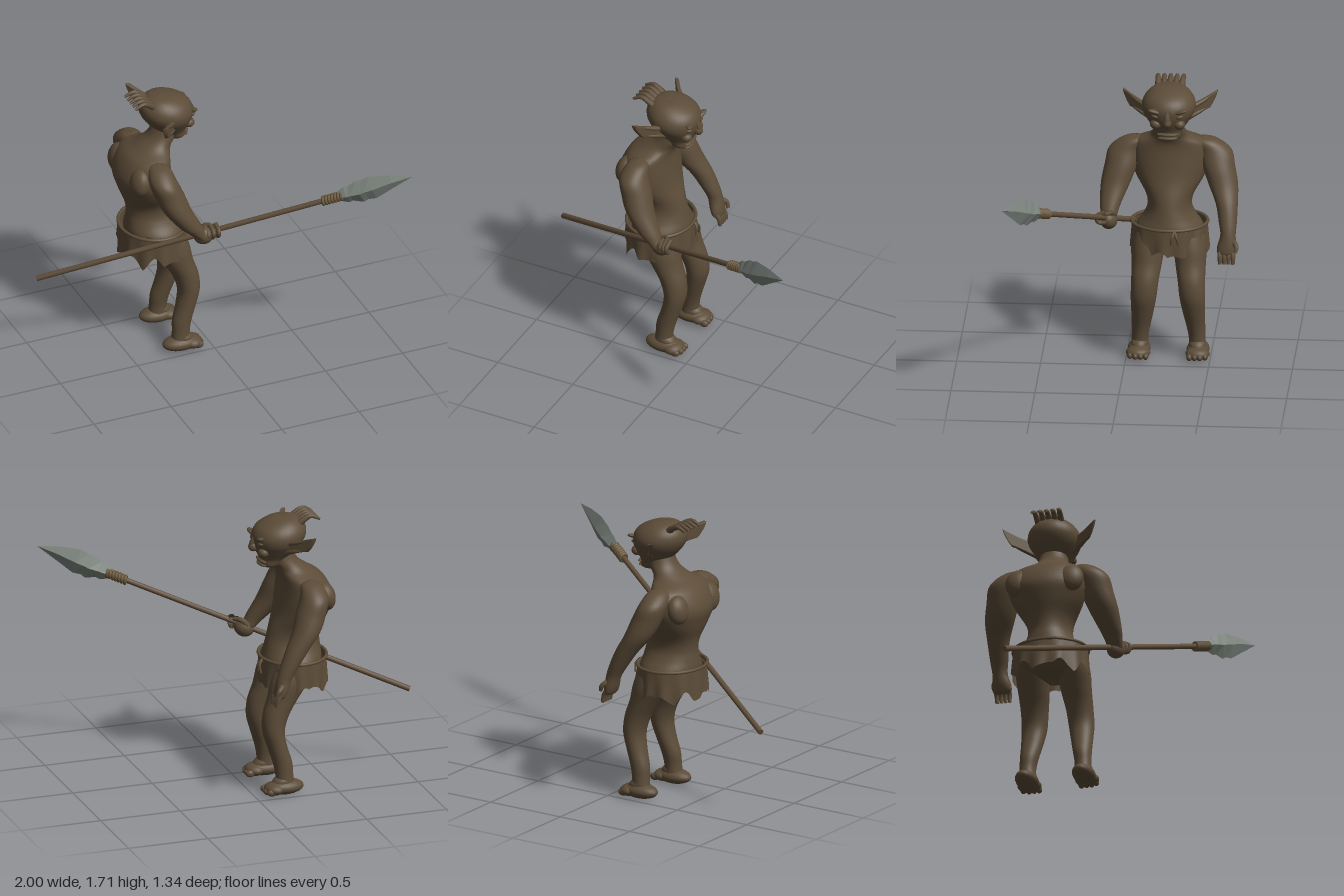
import * as THREE from 'three';

const skin = new THREE.MeshStandardMaterial({ color: 0x5c4c38, side: THREE.DoubleSide });
skin.name = 'brown skin and cloth';
const wood = new THREE.MeshStandardMaterial({ color: 0x604e3a });
wood.name = 'shaft wood';
const cord = new THREE.MeshStandardMaterial({ color: 0x6a583c });
cord.name = 'binding cord';
const stone = new THREE.MeshStandardMaterial({ color: 0x7b837c });
stone.name = 'grey blade';

const V = (x, y, z) => new THREE.Vector3(x, y, z);

function add(parent, name, geo, mat = skin) {
  const m = new THREE.Mesh(geo, mat);
  m.name = name;
  parent.add(m);
  return m;
}

// Smooth skin over elliptical sections [y, x, z, rx, rz], listed from top to bottom
function loft(rows, s = 1, sides = 28, steps = 5) {
  const mid = new THREE.CatmullRomCurve3(rows.map(r => V(r[1], r[0], r[2] * s)), false, 'catmullrom');
  const rad = new THREE.CatmullRomCurve3(rows.map(r => V(r[3], r[4], 0)), false, 'catmullrom');
  const n = (rows.length - 1) * steps, pos = [], idx = [];
  for (let i = 0; i <= n; i++) {
    const c = mid.getPoint(i / n), r = rad.getPoint(i / n);
    for (let j = 0; j < sides; j++) {
      const a = j / sides * Math.PI * 2;
      pos.push(c.x + Math.cos(a) * r.x, c.y, c.z + Math.sin(a) * r.y);
      if (i === n) continue;
      const p = i * sides + j, q = i * sides + (j + 1) % sides;
      idx.push(p, q, p + sides, q, q + sides, p + sides);
    }
  }
  const g = new THREE.BufferGeometry();
  g.setAttribute('position', new THREE.Float32BufferAttribute(pos, 3));
  g.setIndex(idx);
  g.computeVertexNormals();
  return g;
}

// Tube that tapers from r0 to r1
function taper(points, r0, r1, n = 10) {
  const path = new THREE.CatmullRomCurve3(points);
  const g = new THREE.TubeGeometry(path, n, 1, 8);
  const p = g.attributes.position, v = V(0, 0, 0);
  for (let i = 0; i < p.count; i++) {
    const t = Math.floor(i / 9) / n, c = path.getPointAt(t);
    v.fromBufferAttribute(p, i).sub(c).multiplyScalar(r0 + (r1 - r0) * t).add(c);
    p.setXYZ(i, v.x, v.y, v.z);
  }
  return g;
}

function blob(parent, name, at, size, rot = [0, 0, 0], mat = skin) {
  const m = add(parent, name, new THREE.SphereGeometry(1, 20, 14), mat);
  m.position.set(...at);
  m.scale.set(...size);
  m.rotation.set(...rot);
  return m;
}

function makeHead(body) {
  const head = new THREE.Group();
  head.name = 'head';
  body.add(head);
  add(head, 'skull', loft([
    [1.703, -.25, 0, .003, .003], [1.69, -.24, 0, .08, .085], [1.65, -.222, 0, .142, .137],
    [1.6, -.21, 0, .163, .16], [1.55, -.2, 0, .153, .153], [1.5, -.188, 0, .125, .122],
    [1.45, -.172, 0, .085, .088], [1.405, -.15, 0, .058, .068], [1.385, -.15, 0, .003, .003]]));
  blob(head, 'nose', [-.05, 1.525, 0], [.032, .03, .026]);
  add(head, 'noseBridge', taper([V(-.06, 1.59, 0), V(-.045, 1.555, 0), V(-.035, 1.52, 0)], .016, .02));
  blob(head, 'upperLip', [-.1, 1.437, 0], [.025, .011, .066]);
  blob(head, 'lowerLip', [-.102, 1.412, 0], [.025, .011, .06]);
  for (const s of [1, -1]) {
    blob(head, 'brow', [-.073, 1.587, .062 * s], [.024, .014, .058], [-.3 * s, .35 * s, 0]);
    blob(head, 'eye', [-.073, 1.558, .068 * s], [.02, .012, .027], [-.2 * s, 0, 0]);
    blob(head, 'cheek', [-.09, 1.505, .07 * s], [.035, .03, .035]);
    // Pointed ear, swept backwards as it runs outwards
    const sh = new THREE.Shape();
    sh.moveTo(.13, 1.58);
    sh.quadraticCurveTo(.19, 1.59, .278, 1.632);
    sh.quadraticCurveTo(.262, 1.58, .235, 1.545);
    sh.quadraticCurveTo(.19, 1.535, .11, 1.5);
    const g = new THREE.ExtrudeGeometry(sh, { depth: .016, bevelSize: .005, bevelThickness: .006, bevelSegments: 2, curveSegments: 8 });
    const p = g.attributes.position;
    for (let i = 0; i < p.count; i++) {
      const u = p.getX(i), d = p.getZ(i);
      p.setXYZ(i, -.23 - (u - .13) * .75 + d, p.getY(i), u * s);
    }
    g.computeVertexNormals();
    add(head, 'ear', g);
    add(head, 'earRim', taper([V(-.22, 1.57, .14 * s), V(-.265, 1.592, .2 * s), V(-.34, 1.634, .281 * s)], .016, .003));
    add(head, 'earLobe', taper([V(-.21, 1.505, .11 * s), V(-.25, 1.53, .18 * s), V(-.3, 1.55, .235 * s)], .018, .005));
  }
  for (let i = -2; i <= 2; i++) {
    add(head, 'hairStrand', taper([V(-.3, 1.65, i * .033), V(-.345, 1.685, i * .036),
      V(-.385, 1.703, i * .038), V(-.44, 1.68, i * .04)], .024, .008));
  }
}

function makeLoincloth(body) {
  // Ragged skirt, cut short over the front of each thigh
  const n = 96, rows = 5;
  const g = new THREE.CylinderGeometry(1, 1, 1, n, rows, true);
  const p = g.attributes.position;
  for (let i = 0; i < p.count; i++) {
    const a = Math.atan2(p.getZ(i), p.getX(i)), t = .5 - p.getY(i);
    const rag = .04 * Math.abs(Math.sin(a * 5.5)) + .025 * Math.sin(a * 7 + 1);
    const gap = Math.exp(-(((Math.abs(a) - .75) / .25) ** 2)) * .08;
    const fold = 1 + t * (.04 + .035 * Math.sin(a * 12));
    p.setXYZ(i, -.295 + Math.cos(a) * .2 * fold, .825 - t * (.19 - rag - gap), Math.sin(a) * .226 * fold);
  }
  g.computeVertexNormals();
  add(body, 'loincloth', g);
  const belt = add(body, 'belt', new THREE.TorusGeometry(1, .05, 8, 48));
  belt.rotation.x = Math.PI / 2;
  belt.scale.set(.2, .225, .2);
  belt.position.set(-.295, .822, 0);
  for (const e of [-.025, .02]) {
    add(body, 'beltTie', taper([V(-.092, .82, -.04), V(-.07, .79, -.04 + e * .6), V(-.075, .74, -.04 + e)], .01, .006));
  }
}

function makeLeg(body, s) {
  const leg = new THREE.Group();
  leg.name = s > 0 ? 'leftSideLeg' : 'rightSideLeg';
  body.add(leg);
  add(leg, 'legMuscle', loft([
    [.82, -.28, .115, .13, .09], [.7, -.235, .125, .12, .1], [.6, -.19, .13, .095, .092],
    [.5, -.143, .138, .08, .082], [.4, -.125, .145, .067, .077], [.3, -.145, .153, .06, .067],
    [.2, -.175, .163, .059, .056], [.12, -.185, .17, .054, .05], [.04, -.19, .172, .06, .055]], s));
  blob(leg, 'foot', [-.185, .05, .175 * s], [.118, .047, .068]);
  blob(leg, 'ballOfFoot', [-.12, .045, .177 * s], [.062, .038, .073]);
  blob(leg, 'instep', [-.17, .085, .173 * s], [.065, .04, .052], [0, 0, -.3]);
  for (let i = 0; i < 4; i++) {
    blob(leg, 'toe', [-.078 - (i > 2 ? .012 : 0), .035, (.13 + i * .031) * s], [.03, .022, .018]);
  }
}

function makeArms(body) {
  const upper = [[1.345, -.34, .2, .004, .004], [1.325, -.34, .21, .058, .075], [1.26, -.34, .265, .083, .1],
    [1.17, -.31, .29, .09, .098], [1.07, -.27, .32, .084, .088], [.97, -.205, .345, .07, .066]];
  add(body, 'spearArm', loft([...upper, [.92, -.165, .352, .055, .053], [.87, -.12, .354, .045, .045]]));
  blob(body, 'spearFist', [-.115, .88, .352], [.062, .055, .05], [0, -.4, .4]);
  for (let i = 0; i < 4; i++) {
    const t = .87 + i * .028, c = V(-1 + t, .54 + t * .3995, -.1 + t * .51);
    add(body, 'grippingFinger', taper([V(c.x, c.y + .03, c.z - .02), V(c.x, c.y + .005, c.z + .033),
      V(c.x, c.y - .035, c.z + .02), V(c.x, c.y - .035, c.z - .02)], .016, .012));
  }
  add(body, 'spearThumb', taper([V(-.13, .9, .32), V(-.09, .935, .335), V(-.055, .935, .37)], .02, .012));

  add(body, 'freeArm', loft([...upper, [.87, -.15, .355, .056, .054], [.8, -.118, .358, .046, .046],
    [.73, -.1, .352, .04, .058], [.69, -.09, .35, .028, .05], [.68, -.09, .35, .003, .003]], -1));
  for (let i = 0; i < 4; i++) {
    const z = -.313 - i * .026;
    add(body, 'freeFinger', taper([V(-.095, .72, z), V(-.07, .68, z), V(-.062, .635, z)], .018, .011));
  }
  add(body, 'freeThumb', taper([V(-.1, .77, -.385), V(-.07, .745, -.41), V(-.055, .71, -.405)], .02, .011));
}

function makeSpear(root) {
  const a = V(-1, .54, -.35), d = V(1.99, .795, 1.015), len = d.length();
  d.normalize();
  const up = V(0, 1, 0).addScaledVector(d, -d.y).normalize();
  const spear = new THREE.Group();
  spear.name = 'spear';
  spear.position.copy(a);
  spear.quaternion.setFromRotationMatrix(new THREE.Matrix4().makeBasis(up, d, up.clone().cross(d)));
  root.add(spear);
  add(spear, 'shaft', new THREE.CylinderGeometry(.016, .017, 1.95, 14), wood).position.y = .975;
  for (let i = 0; i < 7; i++) {
    const ring = add(spear, 'cordWrap', new THREE.TorusGeometry(.022, .01, 8, 18), cord);
    ring.position.y = 1.81 + i * .019;
    ring.rotation.set(Math.PI / 2, .15, 0);
  }
  // Chipped diamond-section blade
  const blade = loft([[len, 0, 0, .001, .001], [2.24, .005, 0, .045, .02], [2.12, 0, 0, .078, .033],
    [2.07, 0, 0, .07, .036], [2.04, -.004, 0, .076, .036], [1.98, 0, 0, .052, .034],
    [1.955, 0, 0, .056, .032], [1.9, 0, 0, .028, .022], [1.89, 0, 0, .001, .001]], 1, 4, 1).toNonIndexed();
  blade.computeVertexNormals();
  add(spear, 'blade', blade, stone);
}

export function createModel() {
  const root = new THREE.Group();
  root.name = 'spearCreature';
  const body = new THREE.Group();
  body.name = 'body';
  body.position.z = -.25;
  root.add(body);

  add(body, 'torso', loft([
    [1.52, -.205, 0, .075, .08], [1.43, -.235, 0, .087, .092], [1.37, -.295, 0, .105, .125],
    [1.31, -.345, 0, .135, .225], [1.2, -.365, 0, .165, .24], [1.1, -.345, 0, .163, .205],
    [1, -.31, 0, .16, .145], [.93, -.295, 0, .163, .132], [.87, -.29, 0, .172, .155],
    [.8, -.285, 0, .18, .2], [.72, -.28, 0, .16, .19], [.66, -.26, 0, .09, .09], [.64, -.26, 0, .003, .003]], 1, 40));
  for (const s of [1, -1]) {
    blob(body, 'shoulderBlade', [-.445, 1.22, .16 * s], [.06, .09, .08], [0, 0, -.2]);
    makeLeg(body, s);
  }
  makeHead(body);
  makeArms(body);
  makeLoincloth(body);
  makeSpear(root);
  return root;
}
